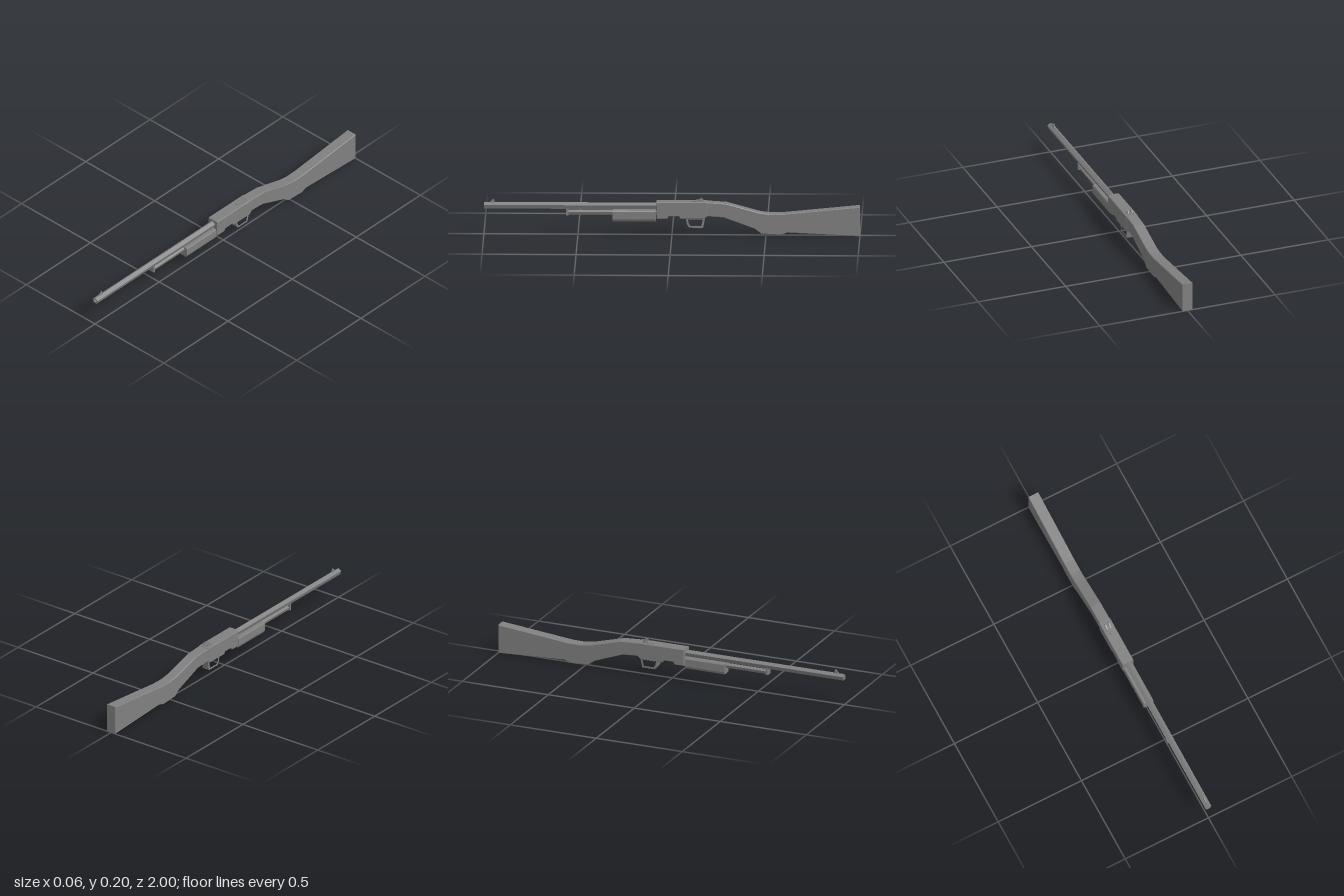
import * as THREE from 'three';

const material = new THREE.MeshStandardMaterial({ color: 0x808080, flatShading: true });

function add(group, name, geometry) {
  const mesh = new THREE.Mesh(geometry, material);
  mesh.name = name;
  group.add(mesh);
}

function makeShape(points) {
  return new THREE.Shape(points.map(([a, b]) => new THREE.Vector2(a, b)));
}

// Side profile in (z, y), extruded across x to the given width with chamfered edges
function sideSlab(shape, width, bevel = 0, centreX = 0) {
  const geometry = new THREE.ExtrudeGeometry(shape, {
    depth: width - 2 * bevel, bevelEnabled: bevel > 0, bevelThickness: bevel,
    bevelSize: bevel, bevelOffset: -bevel, bevelSegments: 1,
  });
  geometry.translate(0, 0, bevel - width / 2);
  geometry.rotateY(-Math.PI / 2);
  return geometry.translate(centreX, 0, 0);
}

// Cross-section in (x, y), extruded along z
function lengthwise(shape, z0, z1) {
  return new THREE.ExtrudeGeometry(shape, { depth: z1 - z0, bevelEnabled: false }).translate(0, 0, z0);
}

// Five-sided section with a corner on top
function pentagon(radius, y) {
  return Array.from({ length: 5 }, (_, i) => {
    const a = Math.PI / 2 + (i * Math.PI * 2) / 5;
    return [radius * Math.cos(a), y + radius * Math.sin(a)];
  });
}

export function createModel() {
  const model = new THREE.Group();
  model.name = 'longGun';

  // Shoulder stock with a dropped wrist and flared butt
  add(model, 'stock', sideSlab(makeShape([
    [-0.18, 0.181], [-0.29, 0.174], [-0.465, 0.126], [-0.52, 0.118], [-0.59, 0.119], [-1, 0.16],
    [-1, 0], [-0.615, 0.019], [-0.58, 0.006], [-0.475, 0.012], [-0.44, 0.039],
    [-0.275, 0.1], [-0.18, 0.106],
  ]), 0.06, 0.003));

  // Receiver with a loading notch in its underside
  add(model, 'receiver', sideSlab(makeShape([
    [0.083, 0.182], [0.083, 0.09], [0.025, 0.09], [0.018, 0.104], [-0.038, 0.104],
    [-0.045, 0.091], [-0.17, 0.091], [-0.187, 0.104], [-0.187, 0.182],
  ]), 0.065, 0.003));

  // Barrel, with a shallow bore sunk into the muzzle
  const muzzle = makeShape(pentagon(0.0187, 0.155));
  muzzle.holes.push(makeShape(pentagon(0.011, 0.155)));
  add(model, 'muzzle', lengthwise(muzzle, 0.96, 1));
  add(model, 'barrel', lengthwise(makeShape(pentagon(0.0187, 0.155)), 0.07, 0.96));

  // Magazine tube and the bracket that hangs it from the barrel
  add(model, 'magazineTube', lengthwise(makeShape(pentagon(0.014, 0.12)), 0.07, 0.555));
  add(model, 'tubeBracket', new THREE.BoxGeometry(0.034, 0.036, 0.012).translate(0, 0.124, 0.556));

  // Sliding fore-end
  add(model, 'foreEnd', lengthwise(makeShape([
    [-0.022, 0.075], [0.022, 0.075], [0.029, 0.088], [0.029, 0.128],
    [0.025, 0.134], [-0.025, 0.134], [-0.029, 0.128], [-0.029, 0.088],
  ]), 0.086, 0.315));

  // Open trigger guard
  const guard = makeShape([
    [-0.073, 0.095], [-0.08, 0.06], [-0.092, 0.042], [-0.166, 0.042], [-0.177, 0.095],
  ]);
  guard.holes.push(makeShape([
    [-0.085, 0.086], [-0.091, 0.063], [-0.099, 0.052], [-0.156, 0.052], [-0.164, 0.086],
  ]));
  add(model, 'triggerGuard', sideSlab(guard, 0.042));

  // Rear sight: pointed base plate with two wedge leaves
  const plate = makeShape([[-0.02, 0.168], [0.02, 0.168], [0.02, 0.135], [0.007, 0.1], [-0.007, 0.1], [-0.02, 0.135]]);
  const plateGeometry = new THREE.ExtrudeGeometry(plate, { depth: 0.005, bevelEnabled: false });
  add(model, 'rearSightBase', plateGeometry.rotateX(-Math.PI / 2).translate(0, 0.181, 0));
  const leaf = makeShape([[-0.132, 0.185], [-0.158, 0.199], [-0.168, 0.185]]);
  for (const side of [-1, 1]) {
    add(model, side > 0 ? 'rearSightLeafLeft' : 'rearSightLeafRight', sideSlab(leaf, 0.006, 0, side * 0.0105));
  }

  // Front sight blade
  add(model, 'frontSight', sideSlab(makeShape([
    [0.974, 0.168], [0.949, 0.193], [0.94, 0.168],
  ]), 0.006));

  return model;
}
